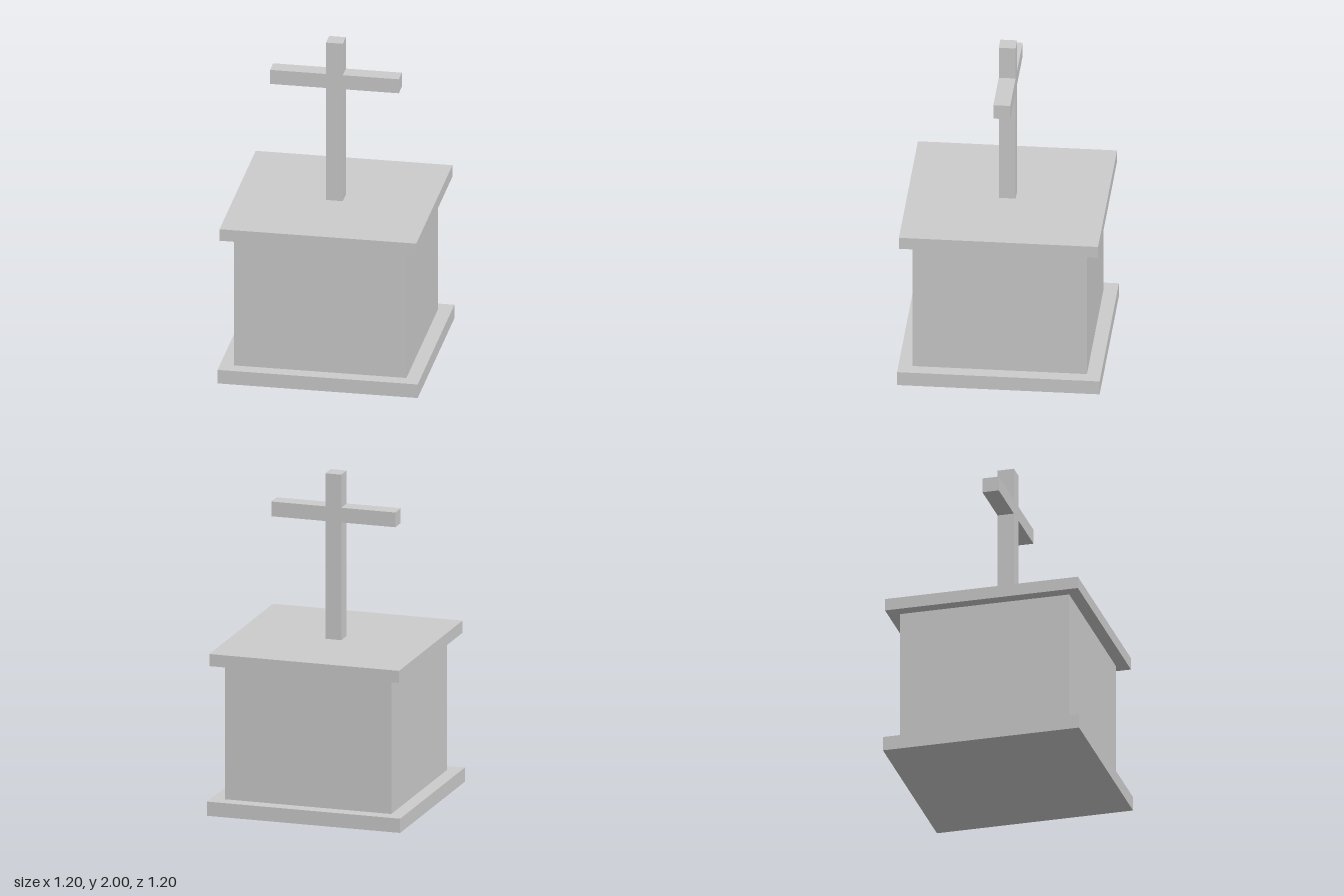
import * as THREE from 'three';

export function createModel() {
  const model = new THREE.Group();
  const material = new THREE.MeshStandardMaterial({ color: 0xcccccc, flatShading: true });

  const add = (name, geometry) => {
    const mesh = new THREE.Mesh(geometry, material);
    mesh.name = name;
    model.add(mesh);
  };

  // Square block between two heights
  const block = (name, width, y0, y1) =>
    add(name, new THREE.BoxGeometry(width, y1 - y0, width).translate(0, (y0 + y1) / 2, 0));

  block('basePlinth', 1.2, 0, 0.087);
  block('pedestalBody', 1.034, 0.087, 0.914);
  block('capSlab', 1.18, 0.914, 0.988);

  // Cross: half outline mirrored about x = 0, extruded to a square section
  const half = 0.05, arm = 0.386;
  const right = [[half, 0.988], [half, 1.708], [arm, 1.708], [arm, 1.798], [half, 1.798], [half, 2]];
  const left = right.map(([x, y]) => [-x, y]).reverse();
  const outline = new THREE.Shape([...right, ...left].map(([x, y]) => new THREE.Vector2(x, y)));
  add('cross', new THREE.ExtrudeGeometry(outline, { depth: 2 * half, bevelEnabled: false }).translate(0, 0, -half));

  return model;
}
